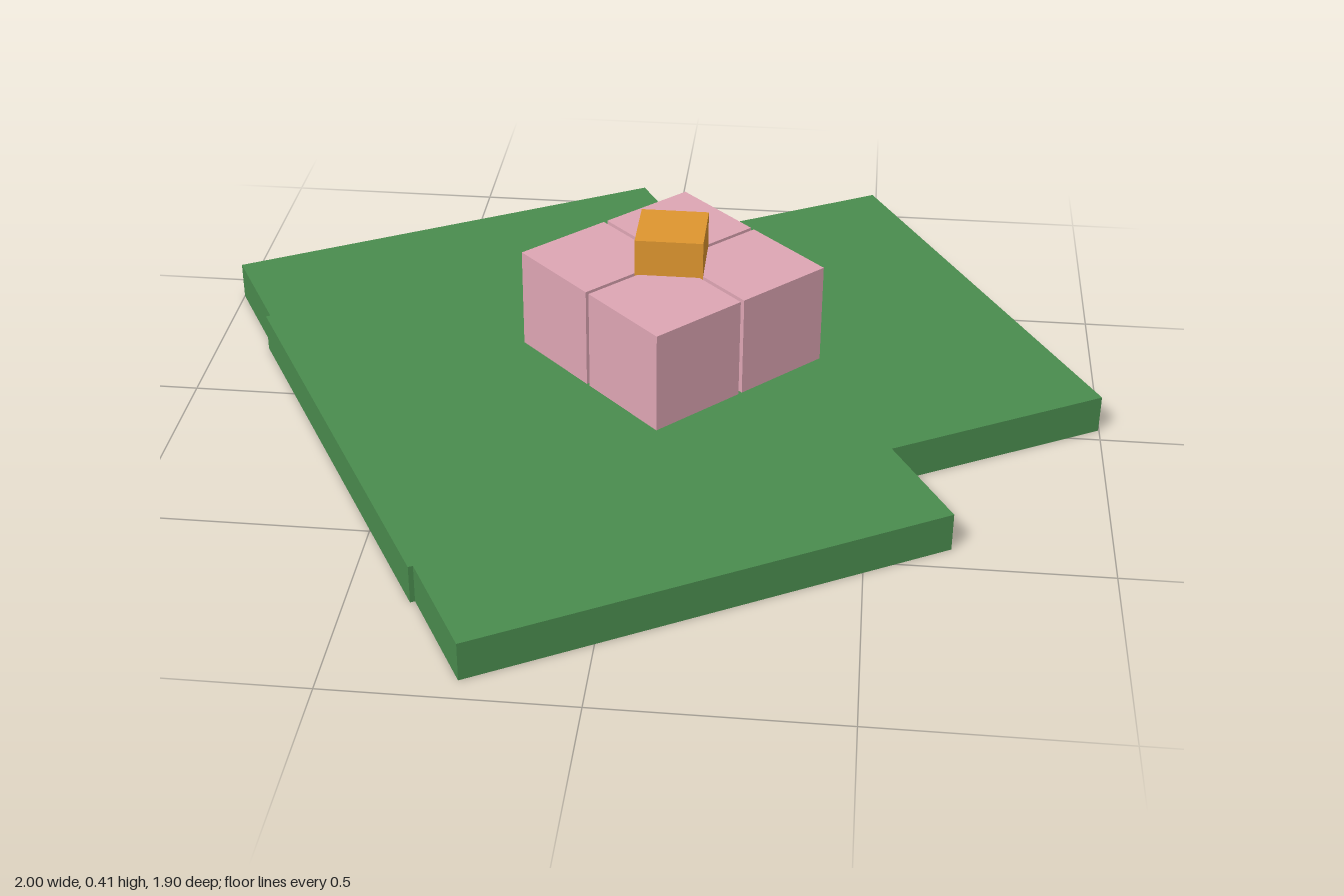
import * as THREE from 'three';

const material = (name, color) => {
  const m = new THREE.MeshStandardMaterial({ color });
  m.name = name;
  return m;
};

export function createModel() {
  const group = new THREE.Group();
  const green = material('leaf green', 0x4a8c4e);
  const pink = material('petal pink', 0xdea6b4);
  const orange = material('centre orange', 0xdf962f);

  const add = (name, geometry, mat, x, y, z, turn = 0) => {
    const mesh = new THREE.Mesh(geometry, mat);
    mesh.name = name;
    mesh.position.set(x, y, z);
    mesh.rotation.y = turn;
    group.add(mesh);
  };

  // Flat leaf with stepped corners, drawn as (x, z) and laid down
  const outline = [
    [-1, -0.422], [-0.087, -0.93], [0.04, -0.702], [0.489, -0.95],
    [0.998, -0.037], [0.549, 0.212], [0.675, 0.438], [-0.238, 0.948],
    [-0.363, 0.72], [-0.372, 0.725], [-0.882, -0.188], [-0.873, -0.193],
  ];
  const shape = new THREE.Shape(outline.map(([x, z]) => new THREE.Vector2(x, -z)));
  const leaf = new THREE.ExtrudeGeometry(shape, { depth: 0.085, bevelEnabled: false });
  leaf.rotateX(-Math.PI / 2);
  add('leaf', leaf, green, 0, 0, 0);

  // Four block petals around the flower centre, with thin gaps between them
  const cx = 0.057, cz = -0.115, size = 0.228, reach = 0.168;
  const petal = new THREE.BoxGeometry(size, size, size);
  for (let i = 0; i < 4; i++) {
    const a = (i * Math.PI) / 2;
    add('petal' + (i + 1), petal, pink,
      cx + reach * Math.cos(a), 0.212, cz + reach * Math.sin(a), Math.PI / 4);
  }

  // Flower centre
  add('flowerCentre', new THREE.BoxGeometry(0.147, 0.147, 0.147), orange, cx, 0.335, cz);

  return group;
}
